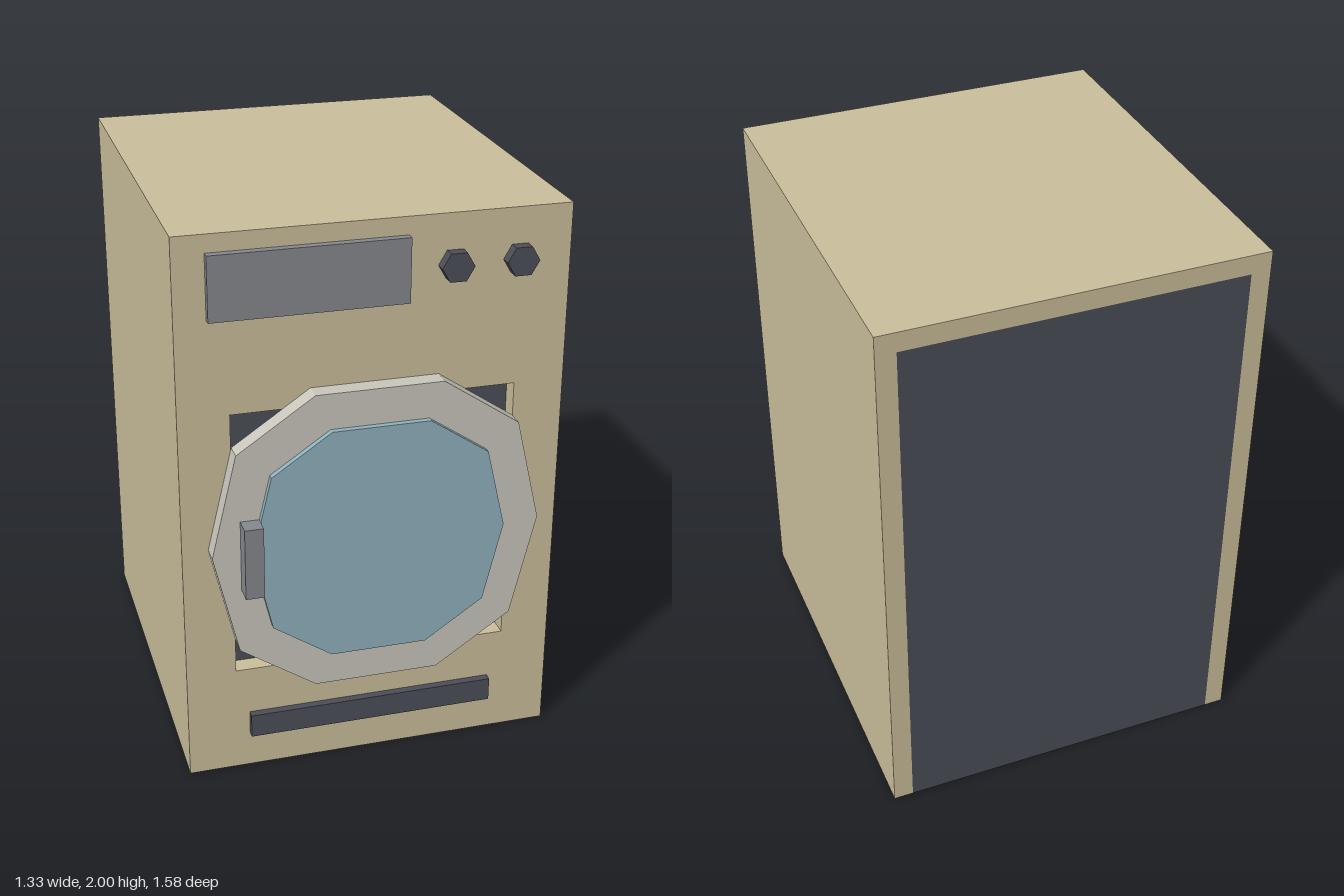
import * as THREE from 'three';

const mat = (name, color) => {
  const m = new THREE.MeshStandardMaterial({ color });
  m.name = name;
  return m;
};

export function createModel() {
  const beige = mat('beige enamel', 0xcabe9b);
  const dark = mat('dark charcoal', 0x4b4e58);
  const grey = mat('grey plastic', 0x85888d);
  const pale = mat('pale door rim', 0xc9c6bb);
  const blue = mat('blue glass', 0x8fb1be);

  const model = new THREE.Group();
  model.name = 'washingMachine';

  const add = (name, geometry, material) => {
    const mesh = new THREE.Mesh(geometry, material);
    mesh.name = name;
    model.add(mesh);
    return mesh;
  };
  // Box given by its limits on each axis
  const box = (name, material, [x0, x1], [y0, y1], [z0, z1]) =>
    add(name, new THREE.BoxGeometry(x1 - x0, y1 - y0, z1 - z0), material)
      .position.set((x0 + x1) / 2, (y0 + y1) / 2, (z0 + z1) / 2);
  // Straight extrusion of a shape between two depths
  const slab = (name, material, shape, z0, z1) => {
    const mesh = add(name, new THREE.ExtrudeGeometry(shape, { depth: z1 - z0, bevelEnabled: false }), material);
    mesh.position.z = z0;
    return mesh;
  };
  const rect = (Type, x, y0, y1) => new Type([[-x, y0], [x, y0], [x, y1], [-x, y1]]
    .map(([a, b]) => new THREE.Vector2(a, b)));

  const W = 0.665, T = 0.07, BACK = -0.79, FRONT = 0.66, INNER = 0.595;

  // Cabinet: dark inner body wrapped by beige panels, open at back and bottom
  box('innerBody', dark, [-W + T, W - T], [0, 2 - T], [BACK, INNER]);
  box('topPanel', beige, [-W, W], [2 - T, 2], [BACK, INNER]);
  for (const [s, name] of [[1, 'leftPanel'], [-1, 'rightPanel']]) {
    const xs = [s * (W - T), s * W].sort((a, b) => a - b);
    box(name, beige, xs, [0, 2 - T], [BACK, INNER]);
  }

  // Front panel with a square door opening
  const frontShape = rect(THREE.Shape, W, 0, 2);
  frontShape.holes.push(rect(THREE.Path, 0.49, 0.4, 1.38));
  slab('frontPanel', beige, frontShape, INNER, FRONT);

  // Ten-sided door, mirrored from one quarter of its outline
  const decagon = (k) => {
    const a = 0.575 * k, b = 0.488 * k, c = 0.22 * k, h = 0.37 * k, t = 0.552 * k;
    return new THREE.Shape([[a, 0], [b, h], [c, t], [-c, t], [-b, h],
      [-a, 0], [-b, -h], [-c, -t], [c, -t], [b, -h]].map(([x, y]) => new THREE.Vector2(x, y)));
  };
  slab('doorRim', pale, decagon(1), FRONT, 0.725).position.y = 0.893;
  slab('doorGlass', blue, decagon(0.77), 0.725, 0.747).position.y = 0.893;
  box('doorHandle', grey, [-0.478, -0.413], [0.76, 1.02], [0.725, 0.79]);

  // Control display and lower kick strip
  box('display', grey, [-0.558, 0.108], [1.715, 1.938], [FRONT, 0.688]);
  box('kickStrip', dark, [-0.445, 0.442], [0.135, 0.222], [FRONT, 0.688]);

  // Six-sided knobs
  for (const x of [0.264, 0.487]) {
    const knob = new THREE.CylinderGeometry(0.056, 0.056, 0.04, 6).toNonIndexed();
    knob.computeVertexNormals();
    knob.rotateY(Math.PI / 2).rotateX(Math.PI / 2);
    add('knob', knob, dark).position.set(x, 1.826, FRONT + 0.02);
  }

  return model;
}
